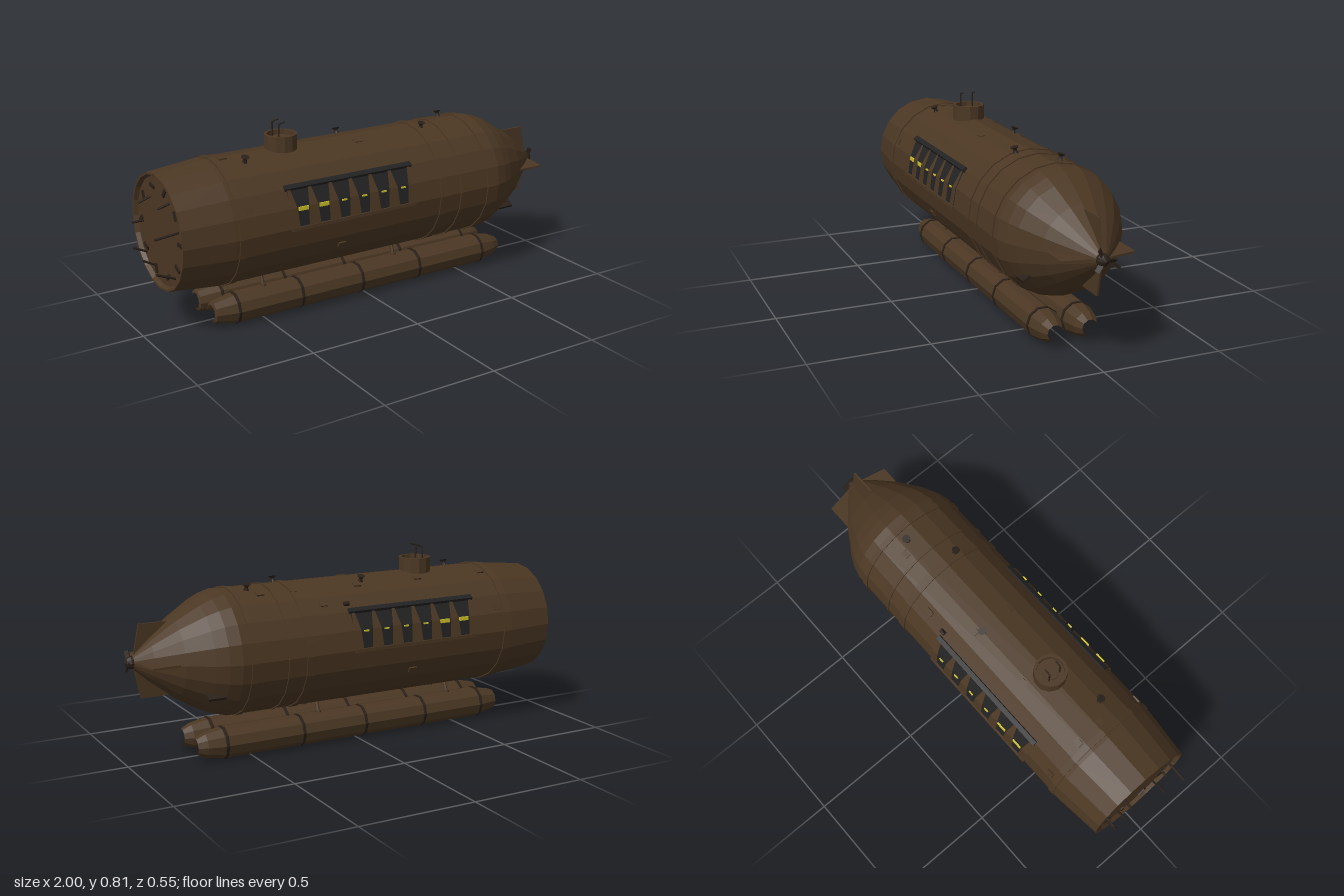
import * as THREE from 'three';

const CY = 0.437, R = 0.264, DEG = Math.PI / 180;

export function createModel() {
  const model = new THREE.Group();
  model.name = 'submarine';
  const mat = (name, color, extra = {}) => {
    const m = new THREE.MeshStandardMaterial({ color, flatShading: true, ...extra });
    m.name = name;
    return m;
  };
  const brown = mat('hullBrown', 0x4b3723);
  const dark = mat('darkIron', 0x2a2019);
  const glass = mat('windowBlack', 0x222222, { side: THREE.DoubleSide });
  const yellow = mat('lampYellow', 0xd2c42a);
  const plate = mat('plateBrown', 0x4b3723, { side: THREE.DoubleSide });

  const add = (name, geo, m, x = 0, y = 0, z = 0, parent = model) => {
    const mesh = new THREE.Mesh(geo, m);
    mesh.name = name;
    mesh.position.set(x, y, z);
    parent.add(mesh);
    return mesh;
  };
  // Lathe around the x axis from [x, radius] pairs; a0 is the angle above +z
  const latheX = (pts, seg, a0 = 0, len = 360) =>
    new THREE.LatheGeometry(pts.map(([x, r]) => new THREE.Vector2(r, x)), seg, -(a0 + len) * DEG, len * DEG)
      .rotateZ(-Math.PI / 2);
  const rod = (name, a, b, r, m, sides = 6) => {
    const p = new THREE.Vector3(...a), d = new THREE.Vector3(...b).sub(p);
    const mesh = add(name, new THREE.CylinderGeometry(r, r, d.length(), sides), m);
    mesh.position.copy(p).addScaledVector(d, 0.5);
    mesh.quaternion.setFromUnitVectors(new THREE.Vector3(0, 1, 0), d.normalize());
    return mesh;
  };
  // Place a mesh on the hull skin; angle above +z, y axis pointing outward
  const onHull = (name, geo, m, x, angle, r = R) => {
    const a = angle * DEG;
    const mesh = add(name, geo, m, x, CY + Math.sin(a) * r, Math.cos(a) * r);
    mesh.rotation.x = Math.PI / 2 - a;
    return mesh;
  };

  // Hull with flat stern and tapering nose
  add('hull', latheX([[-0.9, 0], [-0.9, 0.225], [-0.917, 0.234], [-0.917, 0.242], [-0.7, R], [0.6, R],
    [0.65, 0.25], [0.7, 0.227], [0.8, 0.165], [0.9, 0.086], [0.965, 0.028], [0.972, 0]], 20), brown, 0, CY);
  // Raised hoops
  for (const [x, w] of [[-0.67, 0.028], [0.3, 0.035], [0.395, 0.01], [0.55, 0.026]])
    add('hullBand', latheX([[x - w / 2, R - 0.004], [x - w / 2, R + 0.005], [x + w / 2, R + 0.005],
      [x + w / 2, R - 0.004]], 20), brown, 0, CY);

  // Window galleries on both sides
  for (const [side, x0] of [[1, -0.455], [-1, -0.505]]) {
    const x1 = x0 + 0.605, g = new THREE.Group();
    g.name = side > 0 ? 'frontGallery' : 'backGallery';
    g.position.y = CY;
    model.add(g);
    const a0 = side > 0 ? 0 : 144;
    add('windowBand', latheX([[x0 + 0.005, R + 0.002], [x1 - 0.005, R + 0.002]], 2, a0, 36), glass, 0, 0, 0, g);
    const rail = add('windowRail', new THREE.BoxGeometry(0.61, 0.014, 0.022), glass,
      (x0 + x1) / 2, Math.sin(37 * DEG) * R, side * Math.cos(37 * DEG) * (R + 0.005), g);
    rail.rotation.x = side * 0.6;
    add('windowSill', new THREE.BoxGeometry(0.6, 0.014, 0.014), brown, (x0 + x1) / 2, 0, side * (R + 0.002), g);
    // Ribs narrow toward the rail
    for (let i = 0; i <= 6; i++) {
      const cx = x0 + 0.012 + i * 0.0965, pos = [];
      const rows = [[0, 0.028], [18, 0.021], [36, 0.006]].map(([a, w]) => [-w, w].map((dx) =>
        [THREE.MathUtils.clamp(cx + dx, x0, x1), Math.sin(a * DEG) * (R + 0.007), side * Math.cos(a * DEG) * (R + 0.007)]));
      for (let k = 0; k < 2; k++) {
        const [[a, b], [c, d]] = [rows[k], rows[k + 1]];
        pos.push(...(side > 0 ? [a, b, d, a, d, c] : [a, d, b, a, c, d]).flat());
      }
      const geo = new THREE.BufferGeometry();
      geo.setAttribute('position', new THREE.Float32BufferAttribute(pos, 3));
      geo.computeVertexNormals();
      add('windowRib', geo, plate, 0, 0, 0, g);
      // Lamps behind the panes
      if (i < 6) {
        const w = i < 2 ? 0.045 : 0.022, h = i < 2 ? 0.016 : 0.006;
        add('lamp', new THREE.BoxGeometry(w, h, 0.006), yellow, cx + 0.05, 0.078, side * (R - 0.007), g);
      }
    }
  }

  // Conning tower with rim, sunken hatch and two periscopes
  const tower = add('conningTower', new THREE.LatheGeometry([[0.07, 0.68], [0.07, 0.757], [0.058, 0.757],
    [0.058, 0.735], [0, 0.735]].map((p) => new THREE.Vector2(...p)), 12), brown, -0.35);
  tower.rotation.y = 15 * DEG;
  add('towerHatch', new THREE.CylinderGeometry(0.035, 0.035, 0.01, 12), brown, -0.35, 0.738);
  for (const z of [-0.028, 0.028]) {
    rod('periscope', [-0.373, 0.73, z], [-0.373, 0.805, z], 0.0035, dark);
    rod('periscopeHead', [-0.374, 0.803, z], [-0.345, 0.81, z], 0.0035, dark);
  }

  // Deck vents
  for (const [x, z] of [[-0.56, 0.08], [-0.03, -0.08], [0.315, 0.06], [0.49, -0.055]]) {
    const angle = Math.atan2(Math.sqrt(R * R - z * z), z) / DEG;
    onHull('deckVent', new THREE.LatheGeometry([[0.014, -0.008], [0.008, 0.008], [0.008, 0.014], [0.018, 0.024],
      [0, 0.024]].map((p) => new THREE.Vector2(...p)), 8), dark, x, angle);
  }
  // Small bolted plates
  for (const [x, a] of [[-0.63, 112], [-0.63, 86], [-0.02, 74], [0.3, 112], [0, 113], [-0.3, 112], [0.45, 112],
    [0.3, 72], [0.2, 133], [-0.63, 24], [0.3, 15], [-0.63, 156], [0.3, 165], [-0.2, -28], [-0.2, 208]])
    onHull('deckPlate', new THREE.BoxGeometry(0.034, 0.012, 0.024), brown, x, a, R - 0.003);
  onHull('valveBox', new THREE.BoxGeometry(0.025, 0.022, 0.014), dark, 0.1, 136);

  // Diving planes under the nose
  for (const a of [-34, 214])
    onHull('divingPlane', new THREE.BoxGeometry(0.075, 0.036, 0.012), dark, 0.69, a, 0.232);

  // Four tail fins
  const finShape = new THREE.Shape([[0.8, 0.1], [0.82, 0.153], [0.935, 0.153], [0.962, 0.02], [0.82, 0.02]]
    .map((p) => new THREE.Vector2(...p)));
  for (let i = 0; i < 4; i++) {
    const fin = add('tailFin', new THREE.ExtrudeGeometry(finShape, { depth: 0.008, bevelEnabled: false })
      .translate(0, 0, -0.004), brown, 0, CY);
    fin.rotation.x = i * Math.PI / 2;
  }

  // Propeller
  add('propellerHub', latheX([[0.95, 0.028], [0.975, 0.026], [0.99, 0.018], [1, 0]], 10), dark, 0, CY);
  for (let i = 0; i < 3; i++) {
    const arm = new THREE.Group();
    arm.name = 'propellerBlade';
    arm.position.set(0.98, CY, 0);
    arm.rotation.x = (25 + i * 120) * DEG;
    model.add(arm);
    add('blade', new THREE.BoxGeometry(0.005, 0.04, 0.02), dark, 0, 0.03, 0, arm).rotation.y = 0.7;
  }

  // Torn pipes at the stern
  for (const [y, z, dx, dy] of [[0.585, 0.1, -0.05, -0.015], [0.56, -0.09, -0.05, -0.02], [0.485, 0.17, -0.1, -0.01],
    [0.432, -0.17, -0.05, 0], [0.275, 0.12, -0.08, 0.035], [0.265, -0.08, -0.05, 0.03], [0.3, -0.15, -0.06, 0.03]])
    rod('sternPipe', [-0.895, y, z], [-0.9 + dx, y + dy, z], 0.005, dark);
  for (let i = 0; i < 10; i++) {
    const a = i * 36 * DEG;
    add('sternPatch', new THREE.BoxGeometry(0.008, 0.016, 0.04), dark, -0.902,
      CY + Math.sin(a) * 0.185, Math.cos(a) * 0.185).rotation.x = i * 1.1;
  }

  // Two open-ended pontoons on splayed struts
  for (const s of [1, -1]) {
    add('pontoon', latheX([[-0.73, 0.034], [-0.725, 0.046], [-0.63, 0.066], [0.63, 0.066], [0.7, 0.052],
      [0.738, 0.034]], 10), brown, 0, 0.072, s * 0.075);
    for (const x of [-0.63, -0.33, -0.03, 0.27, 0.62])
      add('pontoonBand', latheX([[x - 0.006, 0.066], [x - 0.006, 0.07], [x + 0.006, 0.07], [x + 0.006, 0.066]], 10),
        dark, 0, 0.072, s * 0.075);
    for (const x of [-0.485, 0.17]) {
      rod('strut', [x, 0.2, s * 0.045], [x, 0.125, s * 0.072], 0.008, brown);
      rod('strutFoot', [x, 0.132, s * 0.07], [x, 0.142, s * 0.068], 0.013, brown);
    }
  }
  return model;
}
